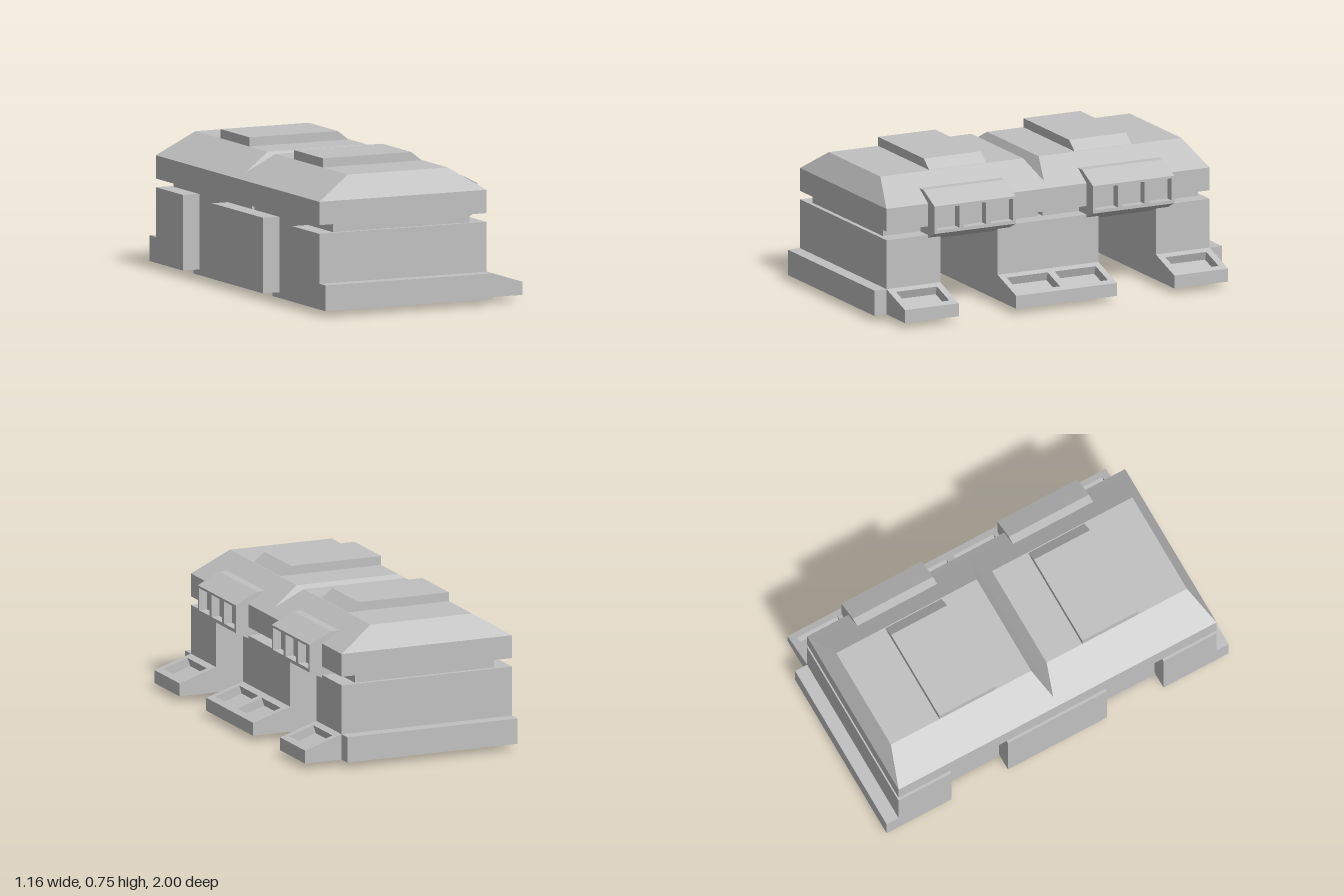
import * as THREE from 'three';

const grey = new THREE.MeshStandardMaterial({ color: 0xc0c0c0 });
grey.name = 'concrete grey';

export function createModel() {
  const model = new THREE.Group();
  model.name = 'twinBayBuilding';

  const add = (name, geometry, z = 0) => {
    const mesh = new THREE.Mesh(geometry, grey);
    mesh.name = name;
    mesh.position.z = z;
    model.add(mesh);
    return mesh;
  };

  // Axis-aligned block given by its limits
  const block = (name, x0, x1, y0, y1, z0, z1) => {
    const g = new THREE.BoxGeometry(x1 - x0, y1 - y0, Math.abs(z1 - z0));
    g.translate((x0 + x1) / 2, (y0 + y1) / 2, (z0 + z1) / 2);
    return add(name, g);
  };

  // Side profile in x and y, extruded along z about a centre
  const prism = (name, profile, zc, half) => {
    const shape = new THREE.Shape(profile.map(p => new THREE.Vector2(...p)));
    const g = new THREE.ExtrudeGeometry(shape, { depth: 2 * half, bevelEnabled: false });
    g.translate(0, 0, -half);
    return add(name, g, zc);
  };

  // Rectangular outline, used for plates and their holes
  const rect = (Type, u0, u1, v0, v1) => new Type([
    new THREE.Vector2(u0, v0), new THREE.Vector2(u1, v0),
    new THREE.Vector2(u1, v1), new THREE.Vector2(u0, v1)]);

  // Move vertices by a rule
  const reshape = (g, rule) => {
    const p = g.attributes.position, v = new THREE.Vector3();
    for (let i = 0; i < p.count; i++) {
      rule(v.fromBufferAttribute(p, i));
      p.setXYZ(i, v.x, v.y, v.z);
    }
    g.computeVertexNormals();
    return g;
  };

  // Stack of rectangular sections [y, x0, x1, z0, z1] with capped ends
  const stack = (name, sections) => {
    const rings = sections.map(([y, x0, x1, z0, z1]) =>
      [[x0, y, z1], [x1, y, z1], [x1, y, z0], [x0, y, z0]]);
    const pos = [];
    const quad = (a, b, c, d) => pos.push(...a, ...b, ...c, ...a, ...c, ...d);
    for (let i = 0; i + 1 < rings.length; i++) {
      for (let k = 0; k < 4; k++) {
        const n = (k + 1) % 4;
        quad(rings[i][k], rings[i][n], rings[i + 1][n], rings[i + 1][k]);
      }
    }
    quad(...rings[rings.length - 1]);
    quad(...[...rings[0]].reverse());
    const g = new THREE.BufferGeometry();
    g.setAttribute('position', new THREE.Float32BufferAttribute(pos, 3));
    g.computeVertexNormals();
    return add(name, g);
  };

  // Sloping apron with sunken pits in its upper face
  const apron = (name, zc, half, pits) => {
    const xa = 0.375, xb = 0.58, depth = 0.05, fall = 0.065 / (xb - xa);
    prism(name + 'Base', [[xa, 0.03], [xb, 0.03], [xb, 0.05], [xa, 0.115]], zc, half);
    const shape = rect(THREE.Shape, xa, xb, -half, half);
    for (const c of pits) shape.holes.push(rect(THREE.Path, 0.41, 0.545, c - 0.118, c + 0.118));
    const g = new THREE.ExtrudeGeometry(shape, { depth, bevelEnabled: false });
    g.rotateX(-Math.PI / 2);
    reshape(g, v => {
      if (v.y < 0.01 && v.x > xa + 0.01 && v.x < xb - 0.01) v.x -= 0.015;
      v.y += 0.113 - fall * (v.x - xa);
    });
    add(name + 'Frame', g, zc);
  };

  // Central pier and its apron
  block('centrePier', -0.58, 0.375, 0.03, 0.42, -0.29, 0.29);
  apron('centreApron', 0, 0.29, [-0.138, 0.138]);

  for (const s of [1, -1]) {
    // End pier, foot step and apron
    block('endPier', -0.58, 0.375, 0.03, 0.42, s * 0.62, s * 0.93);
    block('footStep', -0.58, 0.375, 0.03, 0.163, s * 0.93, s);
    apron('endApron', s * 0.775, 0.155, [0]);

    // Gate closing the bay near the back
    block('gate', -0.485, -0.33, 0, 0.43, s * 0.21, s * 0.69);

    // Recessed neck under the roof
    block('neck', -0.49, 0.29, 0.42, 0.47, s * 0.012, s * 0.906);

    // Hipped roof, meeting its twin in a valley
    const span = (a, b) => s > 0 ? [a, b] : [-b, -a];
    stack('roof', [
      [0.465, -0.58, 0.375, ...span(0, 0.93)],
      [0.585, -0.58, 0.375, ...span(0, 0.93)],
      [0.613, -0.535, 0.33, ...span(0, 0.915)],
      [0.705, -0.385, 0.185, ...span(0.045, 0.866)],
    ]);

    // Raised roof hatch with a sloped edge
    prism('roofHatch', [[-0.385, 0.69], [0.2, 0.69], [0.18, 0.705], [0.12, 0.752], [-0.385, 0.752]],
      s * 0.418, 0.164);

    // Window bay: housing behind a plate with three openings
    const zc = s * 0.456, half = 0.234, xi = 0.4, xo = 0.445;
    prism('windowHousing', [[0.28, 0.385], [0.335, 0.385], [xi, 0.4175], [xi, 0.6075],
      [0.325, 0.645], [0.28, 0.645]], zc, half);
    const face = rect(THREE.Shape, -half, half, 0.44, 0.585);
    for (const c of [-0.155, 0, 0.155]) {
      face.holes.push(rect(THREE.Path, c - 0.064, c + 0.064, 0.457, 0.573));
    }
    const plate = new THREE.ExtrudeGeometry(face, { depth: xo - xi, bevelEnabled: false });
    plate.rotateY(Math.PI / 2).translate(xi, 0, 0);
    reshape(plate, v => {
      if (v.x > xi + 0.01) return;
      if (v.y > 0.58) v.y = 0.6075;
      if (v.y < 0.445) v.y = 0.4175;
    });
    add('windowFrame', plate, zc);
  }

  return model;
}
